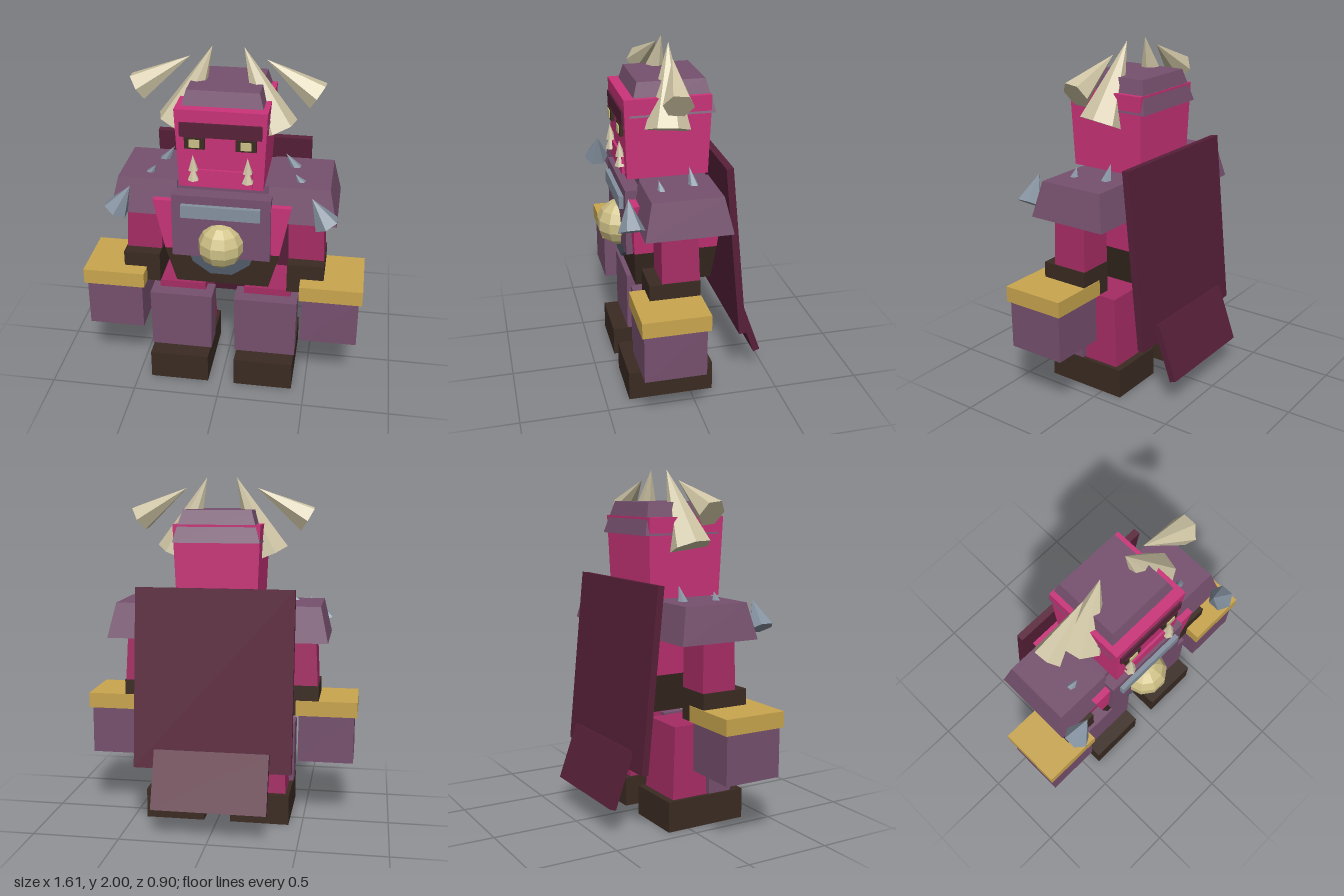
import * as THREE from 'three';

const mat = (name, color) => {
  const m = new THREE.MeshStandardMaterial({ color });
  m.name = name;
  return m;
};

export function createModel() {
  const skin = mat('pink skin', 0xcb347a);
  const limb = mat('dark pink', 0xa52c64);
  const purple = mat('purple armour', 0x76506e);
  const maroon = mat('maroon cloth', 0x582039);
  const leather = mat('brown leather', 0x3a2b22);
  const gold = mat('gold trim', 0xc9a54e);
  const bone = mat('bone', 0xcfc5a5);
  const steel = mat('steel', 0x84919f);
  const slate = mat('slate', 0x505a68);
  const yellow = mat('pale yellow', 0xcdbf85);

  const root = new THREE.Group();
  const add = (name, geo, material) => {
    const m = new THREE.Mesh(geo, material);
    m.name = name;
    root.add(m);
    return m;
  };

  // Block between heights y0 and y1; footprints are [x0, x1, z0, z1]
  const block = (name, material, y0, y1, bottom, top = bottom, side = 1) => {
    const geo = new THREE.BoxGeometry(1, 1, 1);
    const p = geo.attributes.position;
    for (let i = 0; i < p.count; i++) {
      const up = p.getY(i) > 0;
      let [x0, x1, z0, z1] = up ? top : bottom;
      if (side < 0) [x0, x1] = [-x1, -x0];
      p.setXYZ(i, p.getX(i) > 0 ? x1 : x0, up ? y1 : y0, p.getZ(i) > 0 ? z1 : z0);
    }
    geo.computeVertexNormals();
    return add(name, geo, material);
  };

  // Faceted cone from a base centre to an apex
  const spike = (name, material, base, apex, radius, sides, side) => {
    const a = new THREE.Vector3(base[0] * side, base[1], base[2]);
    const b = new THREE.Vector3(apex[0] * side, apex[1], apex[2]);
    const dir = b.clone().sub(a);
    const geo = new THREE.ConeGeometry(radius, dir.length(), sides).toNonIndexed();
    geo.computeVertexNormals();
    const m = add(name, geo, material);
    m.position.copy(a).add(b).multiplyScalar(0.5);
    m.quaternion.setFromUnitVectors(new THREE.Vector3(0, 1, 0), dir.normalize());
    return m;
  };

  // Slab hanging from (y0, z0) down to (y1, z1)
  const slab = (name, halfWidth, y0, z0, y1, z1) => {
    const len = Math.hypot(y0 - y1, z0 - z1);
    const m = add(name, new THREE.BoxGeometry(halfWidth * 2, len, 0.04), maroon);
    m.position.set(0, (y0 + y1) / 2, (z0 + z1) / 2);
    m.rotation.x = Math.atan2(z0 - z1, y0 - y1);
  };

  // Torso and belt
  block('torso', skin, 0.88, 1.19, [-0.325, 0.325, -0.172, 0.3], [-0.385, 0.385, -0.19, 0.315]);
  block('belt', leather, 0.66, 0.88, [-0.265, 0.265, -0.155, 0.285], [-0.325, 0.325, -0.172, 0.3]);
  block('collar', purple, 1.18, 1.29, [-0.28, 0.28, -0.12, 0.25]);

  // Chest plate with its bar, disc and gem
  block('chestPlate', purple, 0.86, 1.24, [-0.275, 0.275, 0.24, 0.336]);
  block('chestBar', steel, 1.115, 1.19, [-0.22, 0.22, 0.32, 0.362]);
  const disc = add('beltDisc', new THREE.CylinderGeometry(0.2, 0.2, 0.045, 10).toNonIndexed(), slate);
  disc.geometry.computeVertexNormals();
  disc.rotation.set(Math.PI / 2, Math.PI / 10, 0);
  disc.position.set(0, 0.94, 0.308);
  const gem = add('chestGem', new THREE.SphereGeometry(0.134, 10, 7).toNonIndexed(), yellow);
  gem.geometry.computeVertexNormals();
  gem.position.set(0, 0.943, 0.322);

  // Head, jaw, brow and cap
  block('head', skin, 1.29, 1.74, [-0.23, 0.23, -0.14, 0.315], [-0.248, 0.248, -0.155, 0.328]);
  block('jaw', skin, 1.3, 1.4, [-0.17, 0.17, 0.25, 0.332]);
  block('brow', maroon, 1.59, 1.67, [-0.22, 0.22, 0.25, 0.337]);
  block('cap', purple, 1.64, 1.82, [-0.248, 0.248, -0.178, 0.3], [-0.195, 0.195, -0.13, 0.247]);

  // Cape
  slab('cape', 0.452, 1.39, -0.2, 0.365, -0.3);
  slab('capeTail', 0.328, 0.478, -0.318, 0.158, -0.432);

  for (const s of [1, -1]) {
    // Face details
    block('eyeSocket', leather, 1.525, 1.59, [0.083, 0.193, 0.28, 0.342], undefined, s);
    block('eye', yellow, 1.535, 1.58, [0.11, 0.167, 0.342, 0.348], undefined, s);
    spike('lowerTusk', bone, [0.147, 1.345, 0.335], [0.147, 1.42, 0.34], 0.033, 6, s);
    spike('upperTusk', bone, [0.147, 1.4, 0.335], [0.147, 1.49, 0.34], 0.028, 6, s);

    // Horns in two pieces
    spike('lowerHorn', bone, [0.265, 1.567, 0.095], [0.085, 2, 0.05], 0.127, 7, s);
    spike('upperHorn', bone, [0.49, 1.765, 0.09], [0.205, 1.94, 0.055], 0.083, 6, s);

    // Shoulder and its spikes
    block('shoulder', purple, 1.09, 1.29, [0.255, 0.633, -0.178, 0.3],
      [0.255, 0.588, -0.133, 0.255], s);
    spike('frontSpike', steel, [0.58, 1.14, 0.36], [0.495, 1.29, 0.36], 0.073, 6, s);
    spike('shoulderSpike', steel, [0.385, 1.27, -0.02], [0.32, 1.37, -0.01], 0.034, 6, s);
    spike('smallSpike', steel, [0.43, 1.27, 0.165], [0.39, 1.335, 0.175], 0.03, 6, s);

    // Arm, cuff and fist
    block('upperArm', limb, 0.78, 1.12, [0.37, 0.573, -0.01, 0.2], [0.36, 0.555, 0, 0.2], s);
    block('forearm', leather, 0.63, 0.81, [0.368, 0.578, -0.01, 0.27], undefined, s);
    block('cuff', gold, 0.63, 0.72, [0.446, 0.803, -0.015, 0.358], undefined, s);
    block('fist', purple, 0.35, 0.63, [0.462, 0.785, 0.003, 0.345], undefined, s);

    // Leg, shin guard and boot
    block('leg', limb, 0.17, 0.59, [0.095, 0.4, -0.09, 0.2], [0.115, 0.385, -0.07, 0.2], s);
    block('shinGuard', purple, 0.183, 0.547, [0.07, 0.428, 0.132, 0.276], [0.065, 0.432, 0.132, 0.276], s);
    block('boot', leather, 0, 0.175, [0.078, 0.423, -0.13, 0.364], undefined, s);
  }
  return root;
}
